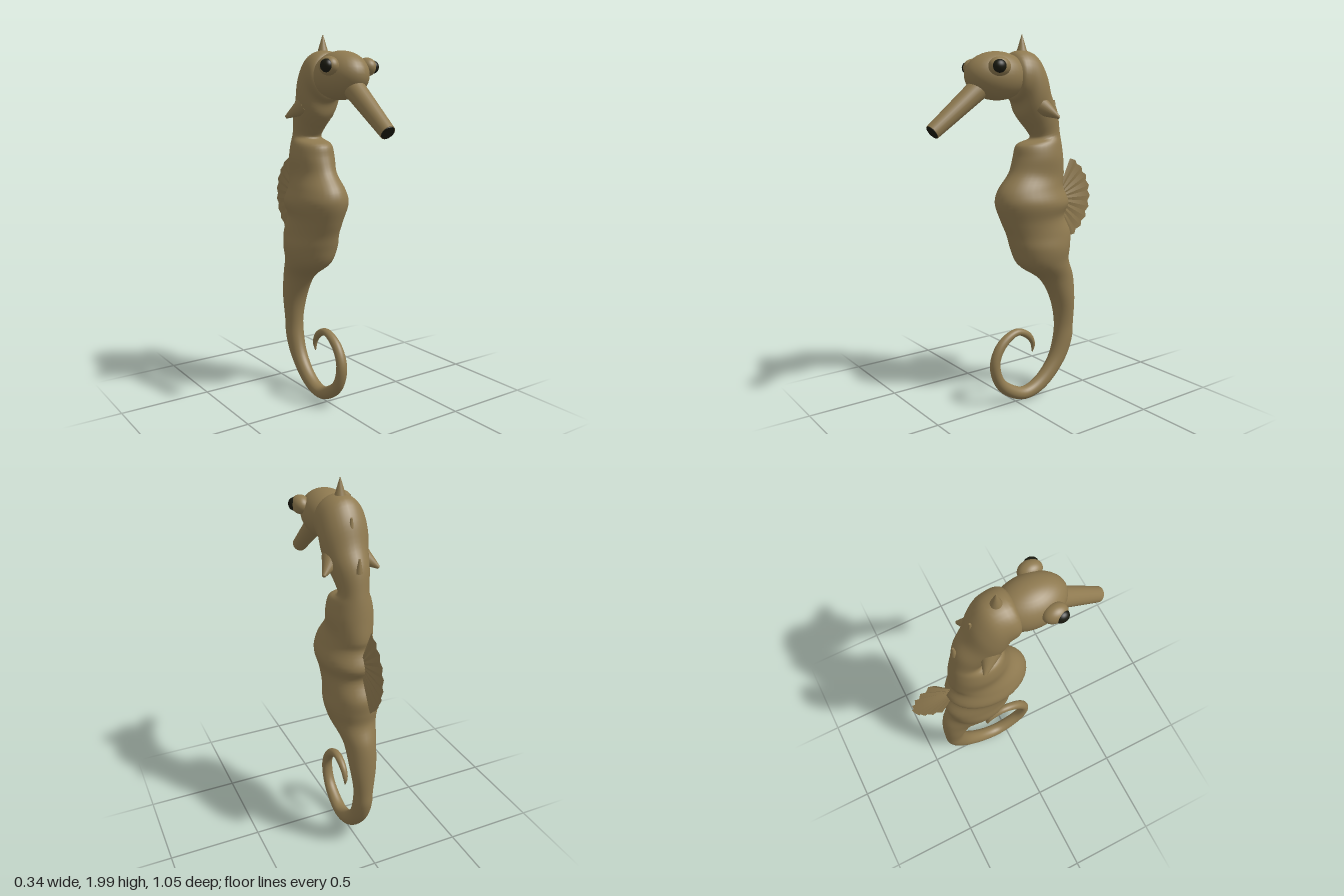
import * as THREE from 'three';

const V = (x, y, z) => new THREE.Vector3(x, y, z);

// Cross-sections: belly-side z, y; back-side z, y; half width
const trunk = [
  [0.06, 1.78, 0.06, 1.81, 0.015], [0.03, 1.68, 0.02, 1.91, 0.11], [0.0, 1.65, -0.09, 1.912, 0.12],
  [-0.02, 1.59, -0.16, 1.83, 0.12], [-0.05, 1.55, -0.205, 1.71, 0.105], [-0.09, 1.505, -0.255, 1.62, 0.088],
  [-0.11, 1.47, -0.28, 1.5, 0.075], [-0.02, 1.435, -0.29, 1.44, 0.1], [0, 1.37, -0.3, 1.36, 0.112],
  [0.03, 1.29, -0.31, 1.26, 0.108], [0.1, 1.195, -0.3, 1.21, 0.13], [0.112, 1.13, -0.335, 1.12, 0.152],
  [0.075, 1.025, -0.31, 1.05, 0.13], [0.04, 0.95, -0.355, 0.95, 0.13], [0.015, 0.88, -0.35, 0.87, 0.137],
  [-0.03, 0.785, -0.345, 0.8, 0.12],
];
const tail = [
  [-0.18, 0.68, -0.385, 0.7, 0.085], [-0.26, 0.55, -0.4, 0.56, 0.072], [-0.285, 0.415, -0.4, 0.4, 0.052],
  [-0.275, 0.31, -0.395, 0.31, 0.05], [-0.235, 0.205, -0.345, 0.19, 0.045], [-0.15, 0.115, -0.2, 0.045, 0.04],
  [-0.06, 0.08, -0.06, 0.008, 0.038], [0.02, 0.11, 0.07, 0.06, 0.035], [0.085, 0.165, 0.14, 0.14, 0.032],
  [0.11, 0.26, 0.165, 0.26, 0.03], [0.075, 0.335, 0.11, 0.375, 0.027], [-0.01, 0.39, -0.005, 0.43, 0.023],
  [-0.075, 0.36, -0.1, 0.39, 0.019], [-0.105, 0.325, -0.132, 0.32, 0.014], [-0.114, 0.275, -0.118, 0.272, 0.003],
];

// Skins smooth elliptical rings through the cross-sections
function loft(rows, perRow = 5, sides = 32) {
  const belly = new THREE.CatmullRomCurve3(rows.map(r => V(0, r[1], r[0])));
  const back = new THREE.CatmullRomCurve3(rows.map(r => V(0, r[3], r[2])));
  const width = new THREE.CatmullRomCurve3(rows.map((r, i) => V(r[4], i * 0.1, 0)));
  const steps = (rows.length - 1) * perRow, pos = [], index = [];
  for (let i = 0; i <= steps; i++) {
    const t = i / steps;
    const f = belly.getPoint(t), b = back.getPoint(t), w = width.getPoint(t).x;
    for (let j = 0; j < sides; j++) {
      const a = (j / sides) * Math.PI * 2, k = (1 + Math.cos(a)) / 2;
      pos.push(w * Math.sin(a), b.y + (f.y - b.y) * k, b.z + (f.z - b.z) * k);
      if (i < steps) {
        const p = i * sides + j, q = i * sides + (j + 1) % sides;
        index.push(p, p + sides, q, q, p + sides, q + sides);
      }
    }
  }
  const g = new THREE.BufferGeometry();
  g.setAttribute('position', new THREE.Float32BufferAttribute(pos, 3));
  g.setIndex(index);
  g.computeVertexNormals();
  return g;
}

// Pleated fan in the x = 0 plane, opening towards the back
function fan(cy, cz, radius, spread, pleats) {
  const g = new THREE.PlaneGeometry(1, 1, pleats * 2, 1), p = g.attributes.position;
  for (let i = 0; i < p.count; i++) {
    const u = p.getX(i) * 2, outer = p.getY(i) + 0.5;
    const ridge = Math.round((p.getX(i) + 0.5) * pleats * 2) % 2;
    const r = outer * (radius - (ridge ? 0 : 0.006));
    p.setXYZ(i, outer * (ridge ? 0.006 : -0.006), cy + r * Math.sin(u * spread), cz - r * Math.cos(u * spread));
  }
  g.computeVertexNormals();
  return g;
}

export function createModel() {
  const group = new THREE.Group();
  const skin = new THREE.MeshStandardMaterial({ color: 0x8f7a50 });
  const finSkin = new THREE.MeshStandardMaterial({ color: 0x8f7a50, side: THREE.DoubleSide });
  const dark = new THREE.MeshStandardMaterial({ color: 0x1a1a10 });
  skin.name = 'tan skin';
  finSkin.name = 'tan fin';
  dark.name = 'dark eye';

  const add = (name, geometry, material, position) => {
    const mesh = new THREE.Mesh(geometry, material);
    mesh.name = name;
    if (position) mesh.position.copy(position);
    group.add(mesh);
    return mesh;
  };
  const ellipsoid = (name, mat, centre, rx, ry, rz) =>
    add(name, new THREE.SphereGeometry(1, 32, 20), mat, centre).scale.set(rx, ry, rz);
  // Tapered round part running between two points
  const taper = (name, mat, from, to, r0, r1, sides = 24) => {
    const dir = to.clone().sub(from);
    const mesh = add(name, new THREE.CylinderGeometry(r1, r0, dir.length(), sides), mat,
      from.clone().add(to).multiplyScalar(0.5));
    mesh.quaternion.setFromUnitVectors(V(0, 1, 0), dir.normalize());
    return mesh;
  };

  add('body', loft([...trunk, ...tail]), skin);
  ellipsoid('head', skin, V(0, 1.79, 0.12), 0.122, 0.122, 0.178);

  // Snout with a dark mouth disc on its end
  const tip = V(0, 1.517, 0.497), out = V(0, -0.615, 0.788);
  taper('snout', skin, V(0, 1.72, 0.237), tip, 0.055, 0.039);
  taper('mouth', dark, tip, tip.clone().addScaledVector(out, 0.003), 0.036, 0.035);

  // Bulging eyes and cheek spines, mirrored
  for (const s of [1, -1]) {
    const side = s > 0 ? 'left' : 'right';
    ellipsoid(side + 'Eye', skin, V(s * 0.115, 1.832, 0.18), 0.045, 0.047, 0.06);
    ellipsoid(side + 'Pupil', dark, V(s * 0.14, 1.832, 0.198), 0.03, 0.033, 0.036);
    taper(side + 'CheekSpine', skin, V(s * 0.075, 1.638, -0.11), V(s * 0.146, 1.58, -0.175), 0.052, 0.008);
  }

  // Crown spike and small spines down the nape
  taper('crownSpike', skin, V(0, 1.895, -0.04), V(0, 2, -0.04), 0.034, 0.002);
  for (const [y, z] of [[1.79, -0.163], [1.62, -0.255]])
    taper('napeSpine', skin, V(0, y - 0.02, z), V(0, y + 0.05, z - 0.002), 0.017, 0.005, 16);

  add('dorsalFin', fan(1.13, -0.275, 0.25, 1.12, 9), finSkin);
  return group;
}
